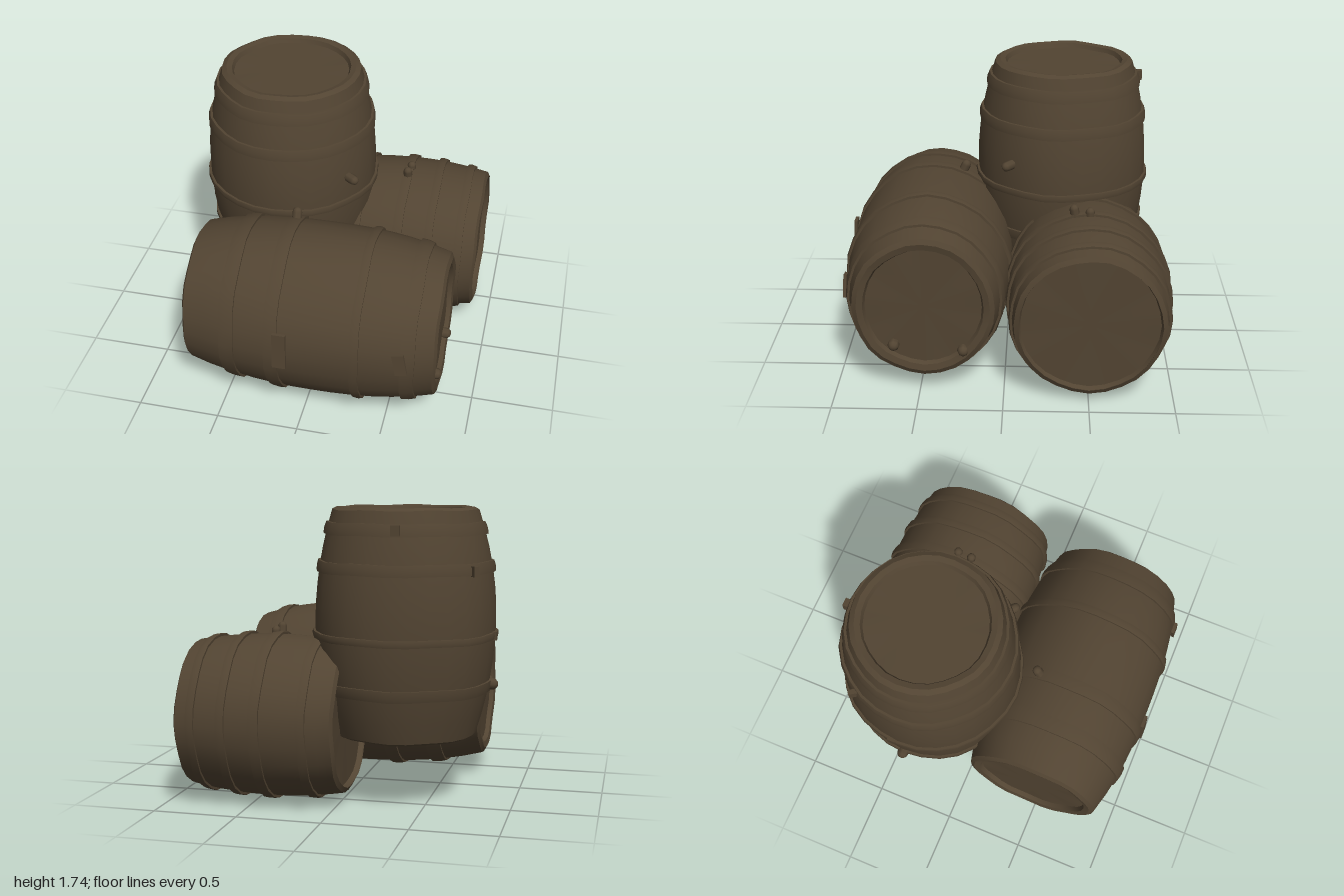
import * as THREE from 'three';
import { toCreasedNormals } from 'three/addons/utils/BufferGeometryUtils.js';

const wood = new THREE.MeshStandardMaterial({ color: 0x524432 });
wood.name = 'dark weathered wood';

// Gentle hand-hewn unevenness, shared by staves and hoops so they stay aligned
function weather(geo, seed, amount) {
  const p = geo.attributes.position;
  for (let i = 0; i < p.count; i++) {
    const x = p.getX(i), y = p.getY(i), z = p.getZ(i);
    const r = Math.hypot(x, z);
    if (r < 0.01) continue;
    const a = Math.atan2(x, z);
    const k = 1 + amount * (Math.sin(a * 5 + seed + y * 3) + 0.7 * Math.sin(a * 9 + seed * 2 - y * 5));
    p.setXYZ(i, x * k, y + amount * 0.6 * Math.sin(a * 7 + seed), z * k);
  }
  return toCreasedNormals(geo, 0.6);
}

function lathe(name, profile, seed, amount) {
  const geo = new THREE.LatheGeometry(profile.map(([r, y]) => new THREE.Vector2(r, y)), 28);
  const mesh = new THREE.Mesh(weather(geo, seed, amount), wood);
  mesh.name = name;
  return mesh;
}

// Barrel along local y, centred on the origin
function barrel({ name, length, rMid, rEnd, rHead, power, hoops, seed }) {
  const group = new THREE.Group();
  group.name = name;
  const h = length / 2, recess = 0.035;
  const radius = y => rMid - (rMid - rEnd) * Math.pow(Math.min(1, Math.abs(y) / h), power);

  // Bulging staves, with rounded rims and sunken heads at both ends
  const profile = [[0, -h + recess], [rHead, -h + recess], [rHead + 0.012, -h + 0.008], [rEnd - 0.025, -h]];
  const steps = 12;
  for (let i = 0; i <= steps; i++) {
    const y = (-1 + (2 * i) / steps) * (h - 0.015);
    profile.push([radius(y), y]);
  }
  profile.push([rEnd - 0.025, h], [rHead + 0.012, h - 0.008], [rHead, h - recess], [0, h - recess]);
  group.add(lathe('staves', profile, seed, 0.005));

  // Raised hoops following the bulge
  for (const [y, w] of hoops) {
    const a = y - w / 2, b = y + w / 2;
    group.add(lathe('hoop', [
      [radius(a) - 0.02, a], [radius(a) + 0.014, a], [radius(y) + 0.018, y],
      [radius(b) + 0.014, b], [radius(b) - 0.02, b],
    ], seed, 0.005));
  }
  return group;
}

// Short rounded peg pointing along a direction
function peg(name, pos, dir, r = 0.03, len = 0.08) {
  const mesh = new THREE.Mesh(new THREE.CapsuleGeometry(r, len - r, 3, 8), wood);
  mesh.name = name;
  mesh.position.set(...pos);
  mesh.quaternion.setFromUnitVectors(new THREE.Vector3(0, 1, 0), new THREE.Vector3(...dir).normalize());
  return mesh;
}

function plate(name, size, pos, rot = [0, 0, 0]) {
  const mesh = new THREE.Mesh(new THREE.BoxGeometry(...size), wood);
  mesh.name = name;
  mesh.position.set(...pos);
  mesh.rotation.set(...rot);
  return mesh;
}

export function createModel() {
  const model = new THREE.Group();
  model.name = 'barrelStack';

  // Upright barrel resting in the gap
  const upright = barrel({
    name: 'uprightBarrel', length: 1.34, rMid: 0.535, rEnd: 0.425, rHead: 0.355, power: 2, seed: 1,
    hoops: [[0.55, 0.07], [0.33, 0.065], [-0.07, 0.04], [-0.37, 0.065]],
  });
  upright.position.set(-0.34, 1.07, -0.34);

  // Long barrel lying in front
  const front = barrel({
    name: 'frontBarrel', length: 1.53, rMid: 0.53, rEnd: 0.435, rHead: 0.36, power: 2.5, seed: 2.4,
    hoops: [[-0.47, 0.09], [-0.195, 0.08], [0.3, 0.05], [0.605, 0.08]],
  });
  front.rotation.z = -Math.PI / 2;
  front.scale.z = 0.95;
  front.position.set(0.035, 0.55, 0.47);

  // Short barrel lying behind
  const back = barrel({
    name: 'backBarrel', length: 0.95, rMid: 0.485, rEnd: 0.44, rHead: 0.405, power: 2, seed: 4,
    hoops: [[-0.3, 0.05], [-0.03, 0.06], [0.17, 0.05], [0.36, 0.05]],
  });
  back.rotation.z = -Math.PI / 2;
  back.position.set(0.425, 0.5, -0.5);

  model.add(upright, front, back);

  // Bungs and pegs
  model.add(
    peg('uprightBung', [0.11, 1.18, -0.01], [0.8, 0, 0.6]),
    peg('uprightSidePeg', [-0.84, 0.71, -0.34], [-1, 0, 0], 0.035),
    peg('frontBung', [-0.16, 1.06, 0.28], [0, 0.9, -0.4]),
    peg('backBung', [0.4, 0.99, -0.41], [0, 1, 0.15], 0.028, 0.09),
    peg('backBung', [0.41, 0.98, -0.5], [0, 1, 0], 0.028),
    peg('headPeg', [0.77, 0.3, 0.65], [1, 0, 0], 0.035, 0.06),
    peg('headPeg', [0.77, 0.27, 0.24], [1, 0, 0], 0.035, 0.06),
  );

  // Hoop clasps
  model.add(
    plate('hoopClasp', [0.08, 0.24, 0.02], [-0.1, 0.6, 0.985], [-0.05, 0, 0]),
    plate('hoopClasp', [0.07, 0.14, 0.02], [0.6, 0.6, 0.945], [-0.05, 0, 0.2]),
    plate('hoopClasp', [0.05, 0.06, 0.03], [-0.38, 1.62, -0.82]),
    plate('hoopClasp', [0.03, 0.05, 0.05], [-0.875, 1.0, -0.38]),
    plate('hoopClasp', [0.03, 0.06, 0.06], [-0.79, 1.39, -0.62], [0, 0.6, 0]),
  );
  return model;
}
